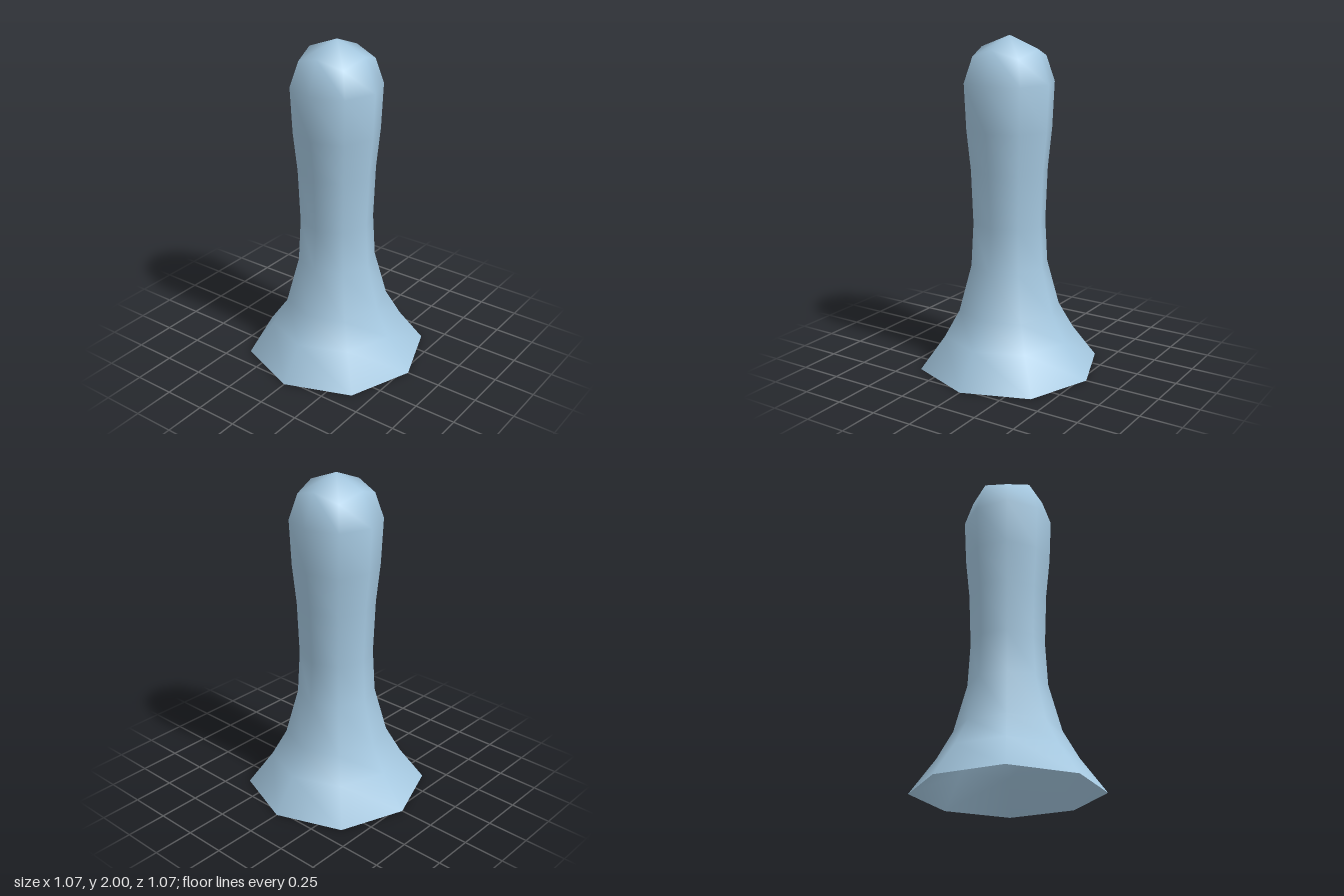
import * as THREE from 'three';
import { mergeVertices } from 'three/addons/utils/BufferGeometryUtils.js';

// Half profile from the flared foot to the crown: [radius, height]
const PROFILE = [
  [0.537, 0], [0.391, 0.2], [0.302, 0.36], [0.228, 0.64], [0.214, 0.9],
  [0.226, 1.22], [0.25, 1.46], [0.262, 1.73], [0.193, 1.927], [0, 2],
];

export function createModel() {
  const group = new THREE.Group();
  group.name = 'flaredPost';

  const lathe = new THREE.LatheGeometry(PROFILE.map(([r, y]) => new THREE.Vector2(r, y)), 8);

  // Slightly squarish octagon: push the diagonal corners out, and drop them at the crown
  const pos = lathe.attributes.position;
  for (let i = 0; i < pos.count; i++) {
    const x = pos.getX(i), y = pos.getY(i), z = pos.getZ(i);
    if (Math.abs(x) < 0.01 || Math.abs(z) < 0.01) continue;
    const crown = y > 1.9;
    const k = crown ? 1.13 : 1.028;
    pos.setXYZ(i, x * k, crown ? 1.88 : y, z * k);
  }

  // Weld the seam and the tip so the shading is smooth all round
  lathe.deleteAttribute('uv');
  lathe.deleteAttribute('normal');
  const body = mergeVertices(lathe, 0.001);
  body.computeVertexNormals();

  // Hollow shell, open at the foot
  const mesh = new THREE.Mesh(body, new THREE.MeshStandardMaterial({ color: 0xa5c8e0, side: THREE.DoubleSide }));
  mesh.name = 'hollowBody';
  group.add(mesh);
  return group;
}
